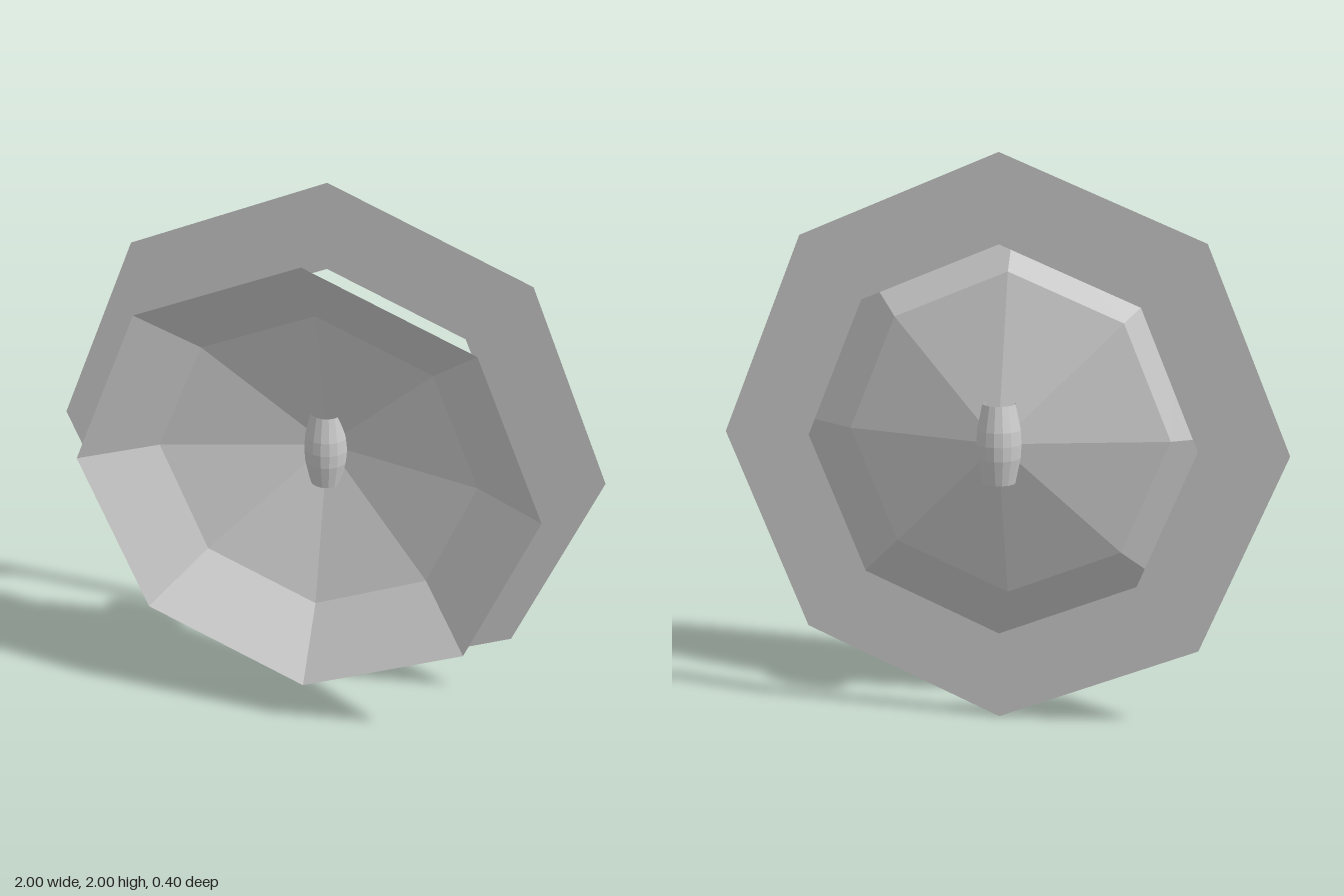
import * as THREE from 'three';

export function createModel() {
  const group = new THREE.Group();
  group.name = 'dishWithRing';

  const grey = new THREE.MeshStandardMaterial({
    name: 'light grey', color: 0xcccccc, flatShading: true, side: THREE.DoubleSide,
  });

  const add = (name, geometry, z) => {
    const mesh = new THREE.Mesh(geometry, grey);
    mesh.name = name;
    mesh.position.set(0, 1, z);
    group.add(mesh);
  };
  const profile = (points) => points.map(([r, h]) => new THREE.Vector2(r, h));

  // shallow eight-sided dish opening to the front
  const dish = new THREE.LatheGeometry(profile([[0, -0.135], [0.58, 0.028], [0.83, 0.2]]), 8);
  dish.rotateX(Math.PI / 2);
  add('dish', dish, 0);

  // flat octagonal ring standing behind the dish
  add('ring', new THREE.RingGeometry(0.69, 1, 8), -0.12);

  // open barrel through the centre of the dish
  const barrel = new THREE.LatheGeometry(
    profile([[0.058, -0.14], [0.077, -0.05], [0.08, 0], [0.077, 0.05], [0.058, 0.14]]), 16);
  add('barrel', barrel, -0.12);

  return group;
}
